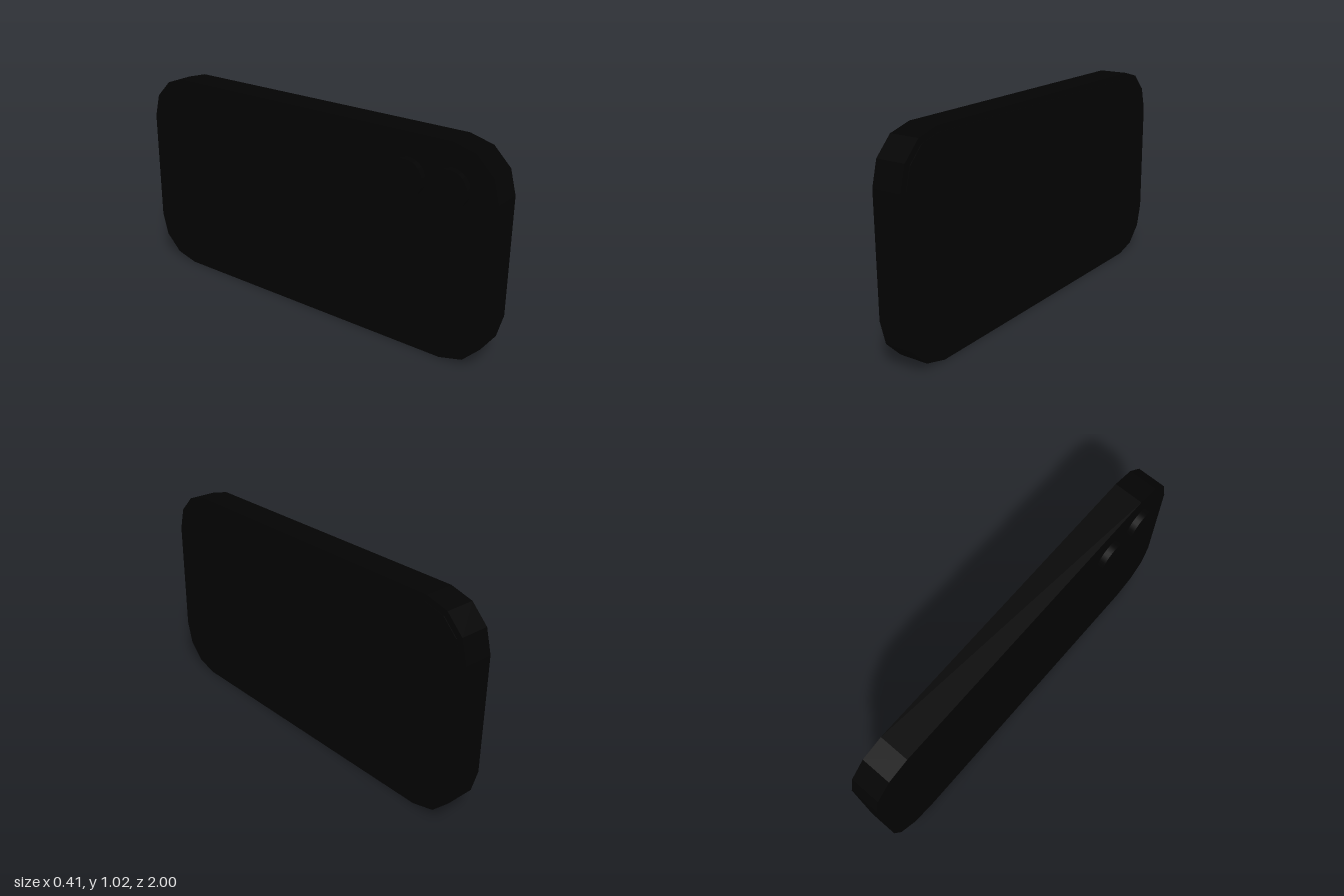
import * as THREE from 'three';

const LENGTH = 1.998, HEIGHT = 1.017, THICK = 0.146, RADIUS = 0.227;

// Rounded rectangle with three-sided corners, extruded along x
function roundedSlab(length, height, radius, thick) {
  const w = length / 2 - radius, h = height / 2 - radius;
  const shape = new THREE.Shape();
  [[w, h], [-w, h], [-w, -h], [w, -h]].forEach(([cx, cy], corner) => {
    for (let i = 0; i <= 3; i++) {
      const a = (corner + i / 3) * Math.PI / 2;
      const x = cx + radius * Math.cos(a), y = cy + radius * Math.sin(a);
      if (corner === 0 && i === 0) shape.moveTo(x, y);
      else shape.lineTo(x, y);
    }
  });
  shape.closePath();
  const geo = new THREE.ExtrudeGeometry(shape, { depth: thick, bevelEnabled: false });
  return geo.translate(0, 0, -thick / 2).rotateY(Math.PI / 2);
}

export function createModel() {
  const model = new THREE.Group();
  model.name = 'phone';
  const black = new THREE.MeshStandardMaterial({ color: 0x030303 });

  const add = (name, geometry, x, y, z) => {
    const mesh = new THREE.Mesh(geometry, black);
    mesh.name = name;
    mesh.position.set(x, y, z);
    model.add(mesh);
  };

  // Body
  add('body', roundedSlab(LENGTH, HEIGHT, RADIUS, THICK), 0, HEIGHT / 2, 0);

  // Thin screen panel with a narrow rim around it
  const rim = 0.03;
  add('screen', roundedSlab(LENGTH - 2 * rim, HEIGHT - 2 * rim, RADIUS - rim, 0.006),
    THICK / 2, HEIGHT / 2, 0);

  // Two camera lenses on the back
  const lens = new THREE.CylinderGeometry(0.088, 0.088, 0.032, 32).rotateZ(Math.PI / 2);
  [0.568, 0.783].forEach((z, i) => {
    add('cameraLens' + (i + 1), lens, -THICK / 2 - 0.015, 0.817, z);
  });

  // The whole phone is turned slightly about the vertical axis
  model.rotation.y = THREE.MathUtils.degToRad(7.5);
  return model;
}
